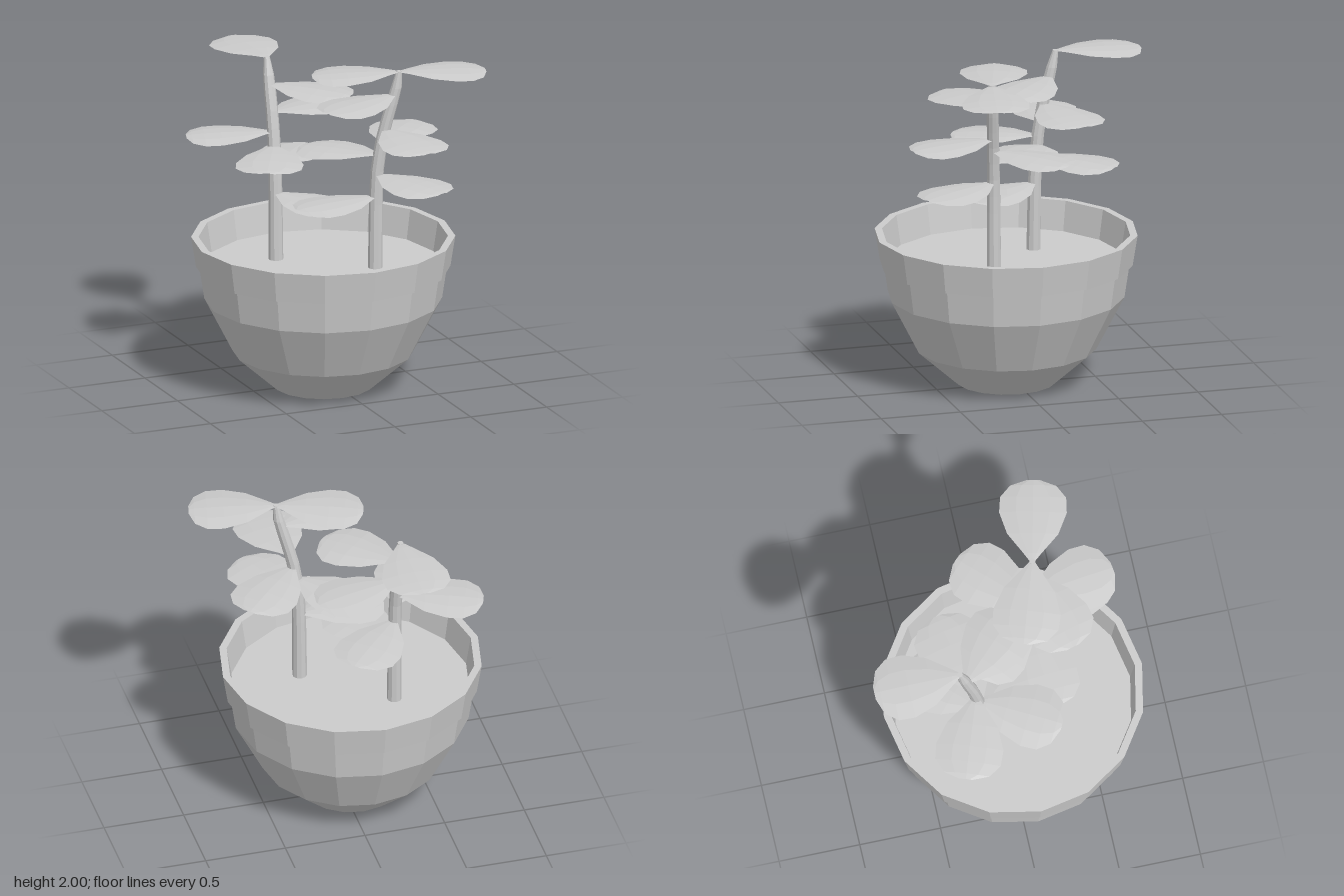
import * as THREE from 'three';

const grey = new THREE.MeshStandardMaterial({ color: 0xcccccc, flatShading: true });
const greyThin = new THREE.MeshStandardMaterial({ color: 0xcccccc, flatShading: true, side: THREE.DoubleSide });

function add(parent, name, geometry, material = grey) {
  const mesh = new THREE.Mesh(geometry, material);
  mesh.name = name;
  parent.add(mesh);
  return mesh;
}

// Round stem that follows a curve and narrows at its tip
function stemGeometry(curve, base, top) {
  const geo = new THREE.CylinderGeometry(1, 1, 1, 10, 12);
  const pos = geo.attributes.position;
  for (let i = 0; i < pos.count; i++) {
    const t = pos.getY(i) + 0.5;
    const y = base + (top - base) * t;
    const [cx, cz] = curve(y);
    const r = 0.045 - 0.009 * t - 0.018 * Math.max(0, (t - 0.9) / 0.1);
    pos.setXYZ(i, cx + pos.getX(i) * r, y, cz + pos.getZ(i) * r);
  }
  geo.computeVertexNormals();
  return geo;
}

// Domed leaf along +x: [distance, half width, height] at each station
function leafGeometry() {
  const stations = [
    [0, 0.015, 0], [0.053, 0.055, 0.003], [0.18, 0.155, 0.004], [0.32, 0.205, 0.002],
    [0.42, 0.2, -0.003], [0.495, 0.14, -0.009], [0.53, 0.04, -0.014],
  ];
  const across = 4;
  const points = [], index = [];
  stations.forEach(([x, w, y], i) => {
    for (let j = 0; j <= across; j++) {
      const v = (j / across) * 2 - 1;
      points.push(x, y - 0.1 * w * v * v, v * w);
      if (i && j) {
        const d = i * (across + 1) + j, c = d - 1, b = d - across - 1, a = b - 1;
        index.push(a, c, b, b, c, d);
      }
    }
  });
  const geo = new THREE.BufferGeometry();
  geo.setAttribute('position', new THREE.Float32BufferAttribute(points, 3));
  geo.setIndex(index);
  geo.computeVertexNormals();
  return geo;
}

// Smooth path through [y, x, z] points
function path(points) {
  const curve = points.map((p) => new THREE.Vector3(p[1], p[0], p[2]));
  return (y) => {
    let i = 0;
    while (i < curve.length - 2 && y > curve[i + 1].y) i++;
    const a = curve[i], b = curve[i + 1];
    const k = (y - a.y) / (b.y - a.y);
    return [a.x + (b.x - a.x) * k, a.z + (b.z - a.z) * k];
  };
}

export function createModel() {
  const model = new THREE.Group();
  model.name = 'pottedPlant';

  // Sixteen-sided pot with a stepped rim, slightly off the centre
  const pot = new THREE.Group();
  pot.name = 'pot';
  pot.position.set(-0.06, 0, 0.045);
  model.add(pot);
  const lathe = (pts) => new THREE.LatheGeometry(pts.map((p) => new THREE.Vector2(...p)), 16);
  add(pot, 'bowl', lathe([[0, 0], [0.3, 0], [0.55, 0.22], [0.72, 0.55], [0.75, 0.75]]));
  add(pot, 'rim', lathe([[0.745, 0.75], [0.77, 0.75], [0.8, 0.94], [0.755, 0.94], [0.725, 0.75]]));
  const soil = add(pot, 'soil', new THREE.CircleGeometry(0.727, 16));
  soil.rotation.x = -Math.PI / 2;
  soil.position.y = 0.755;

  // Two bending stems; each leaf is [height, compass angle from +x toward +z]
  const plants = [
    {
      name: 'backStem',
      curve: path([[0.74, -0.27, -0.19], [1.2, -0.27, -0.197], [1.45, -0.27, -0.213],
        [1.65, -0.27, -0.245], [1.85, -0.27, -0.295], [2, -0.27, -0.33]]),
      leaves: [[1.998, -90], [1.84, 45], [1.672, -12], [1.555, -161], [1.472, 118], [1.35, -47], [1.178, 62]],
    },
    {
      name: 'frontStem',
      curve: path([[0.74, 0.215, 0.203], [1.2, 0.218, 0.205], [1.4, 0.226, 0.21],
        [1.6, 0.257, 0.222], [1.8, 0.31, 0.24], [1.94, 0.347, 0.25], [2, 0.35, 0.255]]),
      leaves: [[1.998, 13], [1.998, 198], [1.853, 164], [1.635, 82], [1.555, -45], [1.472, -130], [1.35, 65], [1.21, 176]],
    },
  ];
  const leafShape = leafGeometry();
  for (const { name, curve, leaves } of plants) {
    const plant = new THREE.Group();
    plant.name = name + 'Plant';
    model.add(plant);
    add(plant, name, stemGeometry(curve, 0.74, 1.998));
    for (const [y, angle] of leaves) {
      const leaf = add(plant, 'leaf', leafShape, greyThin);
      const [x, z] = curve(y);
      leaf.position.set(x, y - 0.003, z);
      leaf.rotation.y = -THREE.MathUtils.degToRad(angle);
    }
  }
  return model;
}
